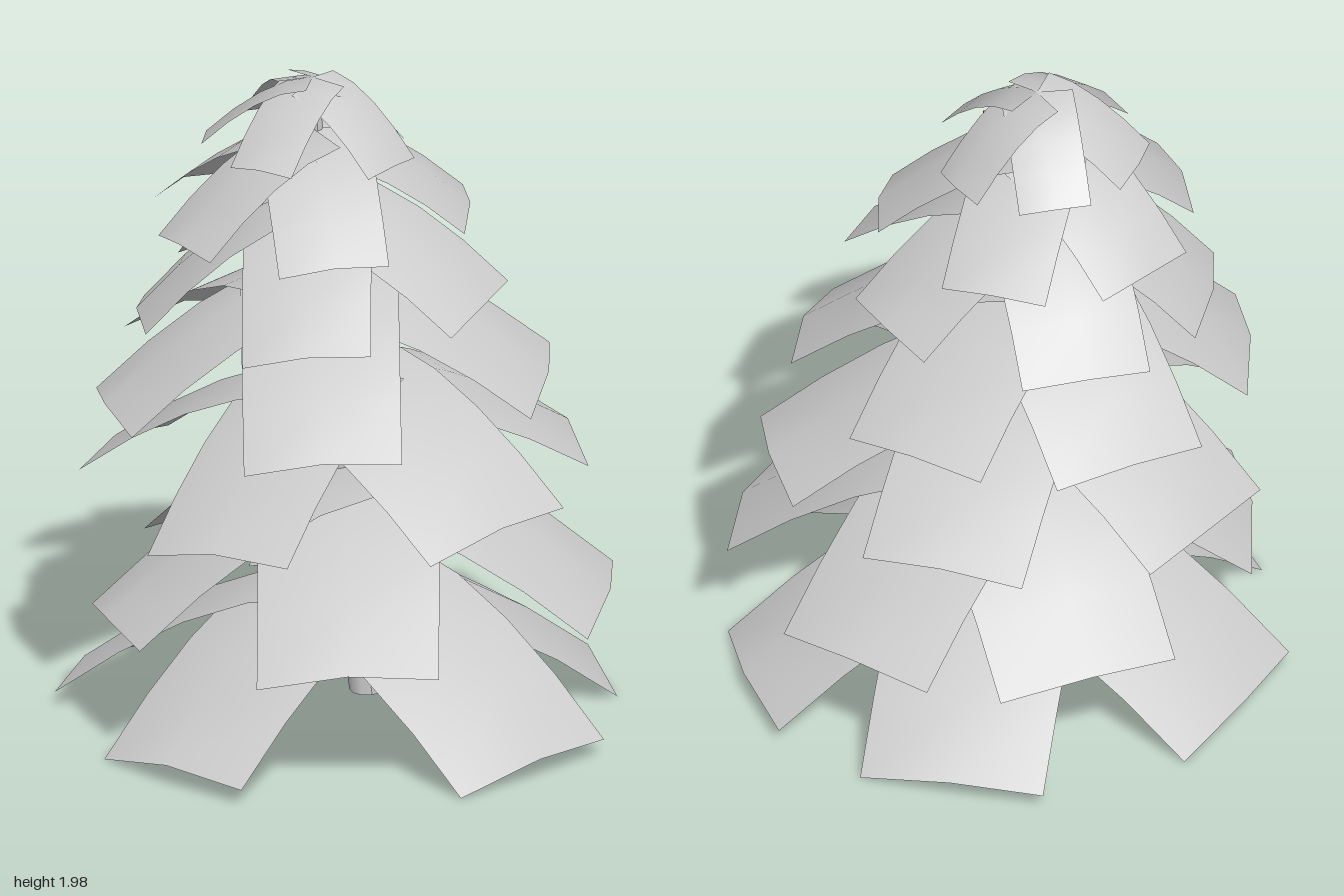
import * as THREE from 'three';

const material = new THREE.MeshStandardMaterial({ color: 0xcccccc, side: THREE.DoubleSide });

// Sideways lean of the trunk at height y
const leanX = (y) => (y < 0.45 ? 0.02 + 0.06 * (1 - y / 0.45) : 0.02 - 0.12 * (y - 0.45) / 1.55);

// Tiers from bottom to top: crown centre, reach, drop at the tip, card width,
// tilt of the ring about x and z, card angles seen from above
const tiers = [
  { x: 0.0, y: 0.475, reach: 0.805, drop: 0.4, width: 0.55, tilt: [0, 0], angles: [-149, -64, 9, 68, 140] },
  { x: 0.02, y: 0.79, reach: 0.755, drop: 0.39, width: 0.53, tilt: [0, 0.01], angles: [180, 101, 45, -23, -110] },
  { x: -0.04, y: 1.10, reach: 0.73, drop: 0.33, width: 0.49, tilt: [0, 0.06], angles: [4, -68, -139, 133, 63] },
  { x: -0.075, y: 1.40, reach: 0.66, drop: 0.335, width: 0.46, tilt: [0.05, 0.045], angles: [178, 108, 49, -22, -109] },
  { x: -0.105, y: 1.645, reach: 0.53, drop: 0.315, width: 0.38, tilt: [0, 0.08], angles: [98, 25, -41, -113, 166] },
  { x: -0.1, y: 1.835, reach: 0.46, drop: 0.26, width: 0.32, tilt: [0.02, 0.025], angles: [63, -14, -101, 193, 125] },
  { x: -0.095, y: 1.99, reach: 0.305, drop: 0.2, width: 0.21, tilt: [0, -0.05], angles: [88, 25, -54, -138, 150] },
];

// Drooping card reaching from the trunk towards +z: raised centre line,
// rolled so that one side tucks under the neighbouring card
function cardGeometry({ reach, drop, width }) {
  const power = 1.65;
  const geometry = new THREE.PlaneGeometry(width, 1, 2, 4);
  const p = geometry.attributes.position;
  for (let i = 0; i < p.count; i++) {
    const u = p.getX(i);
    const t = 0.5 - p.getY(i);
    const slope = Math.atan(power * drop / reach * Math.pow(t, power - 1));
    const lift = 0.11 * u - 0.18 * Math.abs(u);
    p.setXYZ(
      i,
      u,
      -drop * Math.pow(t, power) + lift * Math.cos(slope),
      reach * t + lift * Math.sin(slope)
    );
  }
  geometry.computeVertexNormals();
  return geometry;
}

// Tapered trunk bent along its lean
function createTrunk() {
  const geometry = new THREE.CylinderGeometry(0.02, 0.05, 1.91, 10, 12);
  geometry.translate(0, 1.025, 0);
  const p = geometry.attributes.position;
  for (let i = 0; i < p.count; i++) p.setX(i, p.getX(i) + leanX(p.getY(i)));
  geometry.computeVertexNormals();
  const trunk = new THREE.Mesh(geometry, material);
  trunk.name = 'trunk';
  return trunk;
}

export function createModel() {
  const tree = new THREE.Group();
  tree.name = 'coniferTree';
  tree.add(createTrunk());

  // Rings of foliage cards
  tiers.forEach((tier, n) => {
    const ring = new THREE.Group();
    ring.name = `foliageTier${n + 1}`;
    ring.position.set(tier.x, tier.y, 0);
    ring.rotation.set(tier.tilt[0], 0, tier.tilt[1]);
    const geometry = cardGeometry(tier);
    tier.angles.forEach((angle, k) => {
      const card = new THREE.Mesh(geometry, material);
      card.name = `foliageCard${k + 1}`;
      card.rotation.y = THREE.MathUtils.degToRad(angle + 90);
      ring.add(card);
    });
    tree.add(ring);
  });
  return tree;
}
